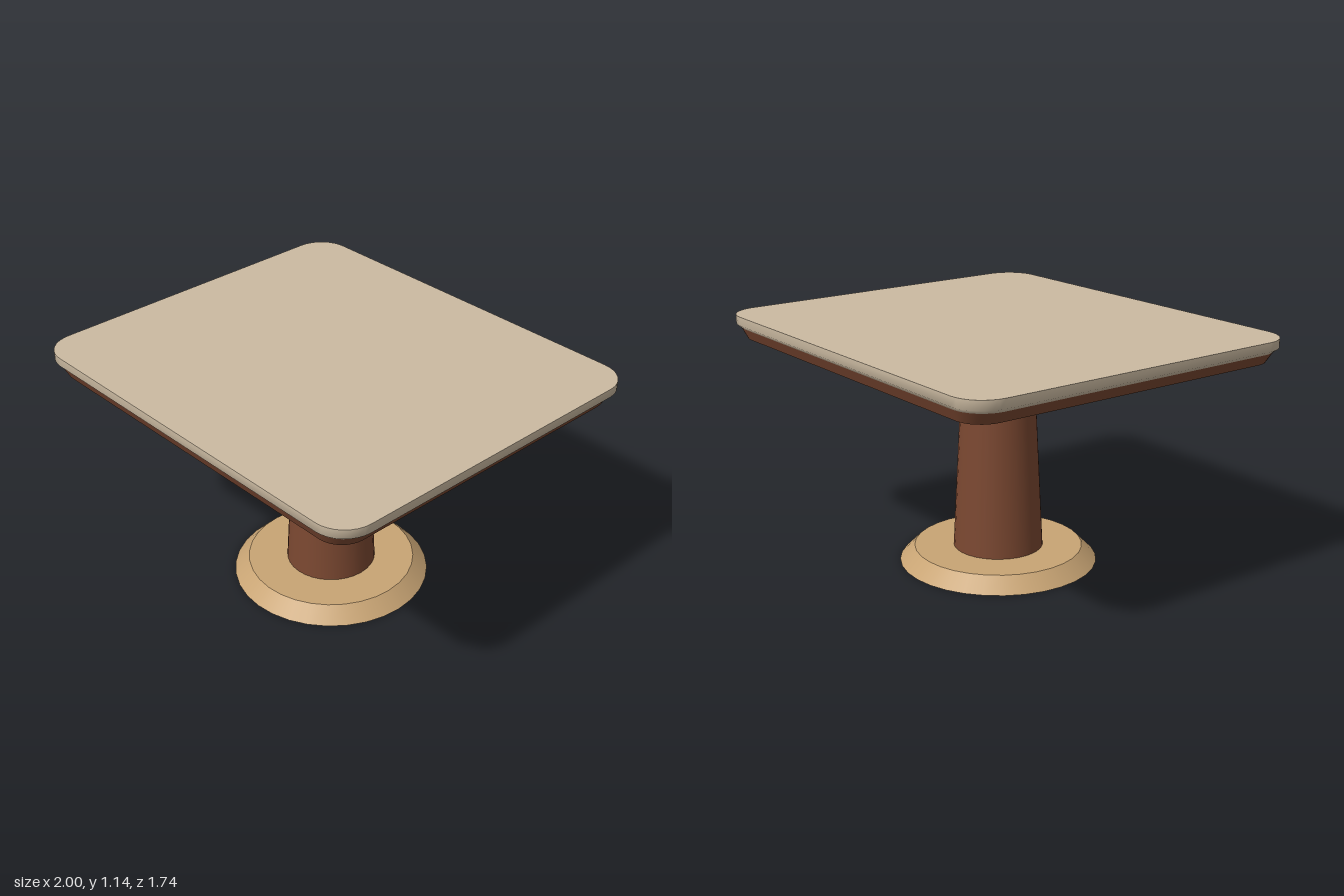
import * as THREE from 'three';

const mats = {
  beige: new THREE.MeshStandardMaterial({ name: 'beige top', color: 0xcbbaa1 }),
  brown: new THREE.MeshStandardMaterial({ name: 'brown wood', color: 0x7b4831 }),
  tan: new THREE.MeshStandardMaterial({ name: 'tan wood', color: 0xc8a474 }),
};

// Outline of a rounded rectangle in the XZ plane, running from +x towards +z
function outline(hx, hz, r, steps = 8) {
  const pts = [];
  [[1, 1], [-1, 1], [-1, -1], [1, -1]].forEach(([sx, sz], q) => {
    for (let i = 0; i <= steps; i++) {
      const a = (q + i / steps) * Math.PI / 2;
      pts.push([sx * (hx - r) + r * Math.cos(a), sz * (hz - r) + r * Math.sin(a)]);
    }
  });
  return pts;
}

// Loft through sections [y, halfX, halfZ, radius] from bottom to top, with flat caps
function roundedSlab(sections) {
  const pos = [], index = [];
  const addRing = ([y, hx, hz, r]) => {
    const start = pos.length / 3;
    outline(hx, hz, r).forEach(([x, z]) => pos.push(x, y, z));
    return start;
  };
  const n = outline(1, 1, 0.1).length;
  const rings = sections.map(addRing);
  for (let s = 0; s < rings.length - 1; s++) {
    for (let i = 0; i < n; i++) {
      const j = (i + 1) % n, lo = rings[s], up = rings[s + 1];
      index.push(lo + i, up + i, lo + j, lo + j, up + i, up + j);
    }
  }
  // Caps use their own vertices so the rim stays sharp
  [[sections[0], false], [sections.at(-1), true]].forEach(([section, isTop]) => {
    const ring = addRing(section), centre = pos.length / 3;
    pos.push(0, section[0], 0);
    for (let i = 0; i < n; i++) {
      const j = (i + 1) % n;
      index.push(centre, ring + (isTop ? j : i), ring + (isTop ? i : j));
    }
  });
  const geo = new THREE.BufferGeometry();
  geo.setAttribute('position', new THREE.Float32BufferAttribute(pos, 3));
  geo.setIndex(index);
  geo.computeVertexNormals();
  return geo;
}

// Tapered round part between two heights
function tapered(rTop, rBottom, y0, y1) {
  return new THREE.CylinderGeometry(rTop, rBottom, y1 - y0, 32).translate(0, (y0 + y1) / 2, 0);
}

export function createModel() {
  const group = new THREE.Group();
  group.name = 'pedestalTable';
  const add = (name, geometry, material) => {
    const mesh = new THREE.Mesh(geometry, material);
    mesh.name = name;
    group.add(mesh);
  };

  add('foot', tapered(0.4, 0.47, 0, 0.07), mats.tan);
  add('column', tapered(0.165, 0.213, 0.07, 1.01), mats.brown);
  add('collar', tapered(0.255, 0.235, 1.01, 1.03), mats.tan);
  add('underFrame', roundedSlab([
    [1.03, 0.945, 0.83, 0.12],
    [1.085, 0.98, 0.855, 0.14],
  ]), mats.brown);
  add('tableTop', roundedSlab([
    [1.083, 0.98, 0.855, 0.14],
    [1.1, 1, 0.872, 0.15],
    [1.142, 1, 0.872, 0.15],
  ]), mats.beige);
  return group;
}
